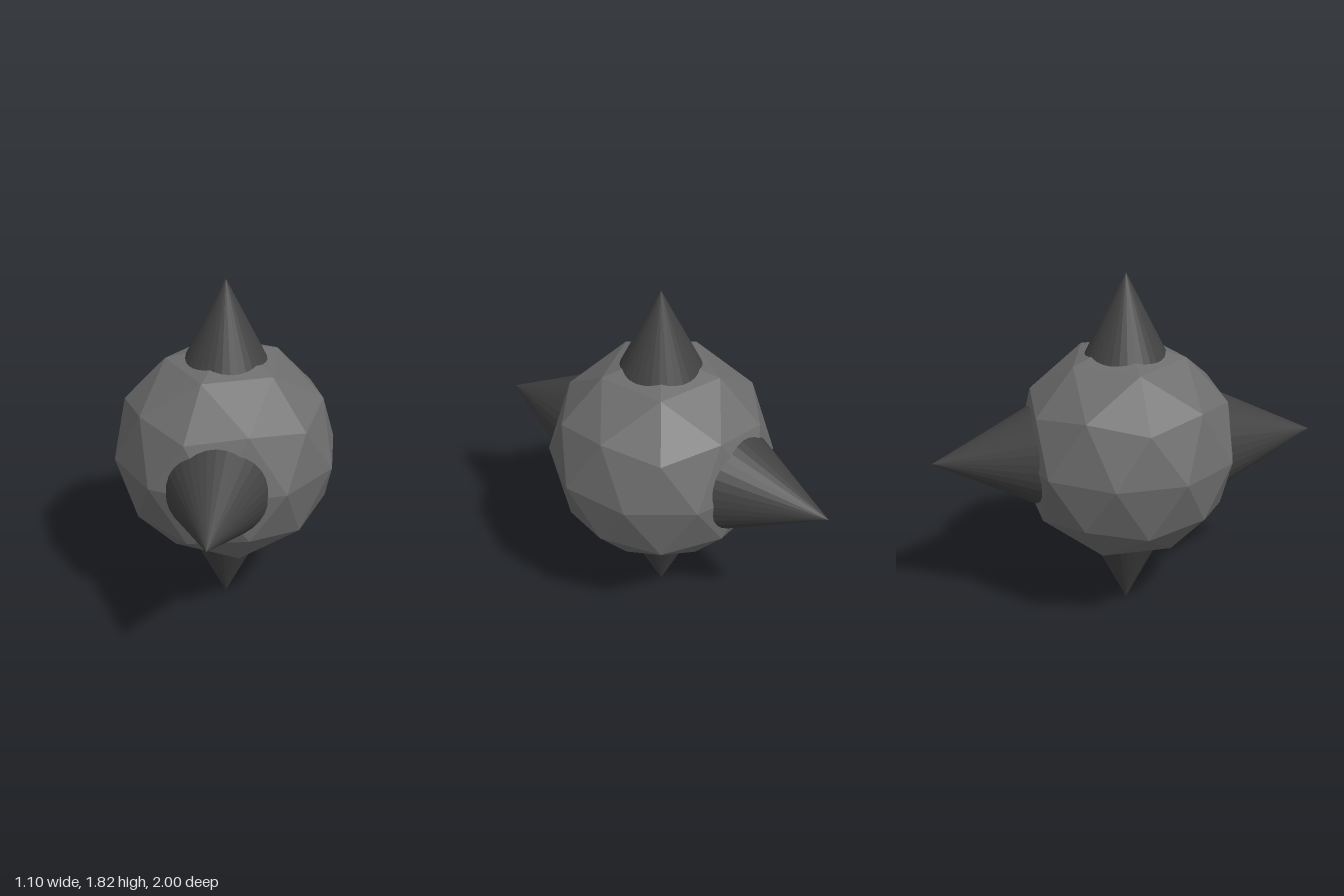
import * as THREE from 'three';

const CENTER_Y = 0.893;
const BODY_RADIUS = 0.58;
const SLOPE = 0.495; // spike radius per unit of length

// Split the faces so that each one gets its own flat normal
function faceted(geometry) {
  const g = geometry.index ? geometry.toNonIndexed() : geometry;
  g.computeVertexNormals();
  return g;
}

export function createModel() {
  const bodyGrey = new THREE.MeshStandardMaterial({ color: 0x6e6e6e });
  bodyGrey.name = 'mid grey';
  const spikeGrey = new THREE.MeshStandardMaterial({ color: 0x424242 });
  spikeGrey.name = 'dark grey';

  const model = new THREE.Group();
  model.name = 'spikedBall';

  // Faceted ball, turned so that one corner points straight up
  const ball = faceted(new THREE.IcosahedronGeometry(BODY_RADIUS, 1));
  ball.rotateZ(Math.atan(2 / (1 + Math.sqrt(5))));
  const body = new THREE.Mesh(ball, bodyGrey);
  body.name = 'body';
  body.position.y = CENTER_Y;
  model.add(body);

  // Four spikes, each starting inside the ball
  const up = new THREE.Vector3(0, 1, 0);
  const base = 0.3;
  const spikes = [
    ['topSpike', [0, 1, 0], 1.82 - CENTER_Y],
    ['bottomSpike', [0, -1, 0], CENTER_Y],
    ['frontSpike', [0, 0, 1], 1],
    ['backSpike', [0, 0, -1], 1],
  ];
  for (const [name, dir, tip] of spikes) {
    const length = tip - base;
    const cone = faceted(new THREE.ConeGeometry(length * SLOPE, length, 32));
    cone.translate(0, base + length / 2, 0);
    const spike = new THREE.Mesh(cone, spikeGrey);
    spike.name = name;
    spike.quaternion.setFromUnitVectors(up, new THREE.Vector3(...dir));
    spike.position.y = CENTER_Y;
    model.add(spike);
  }

  return model;
}
